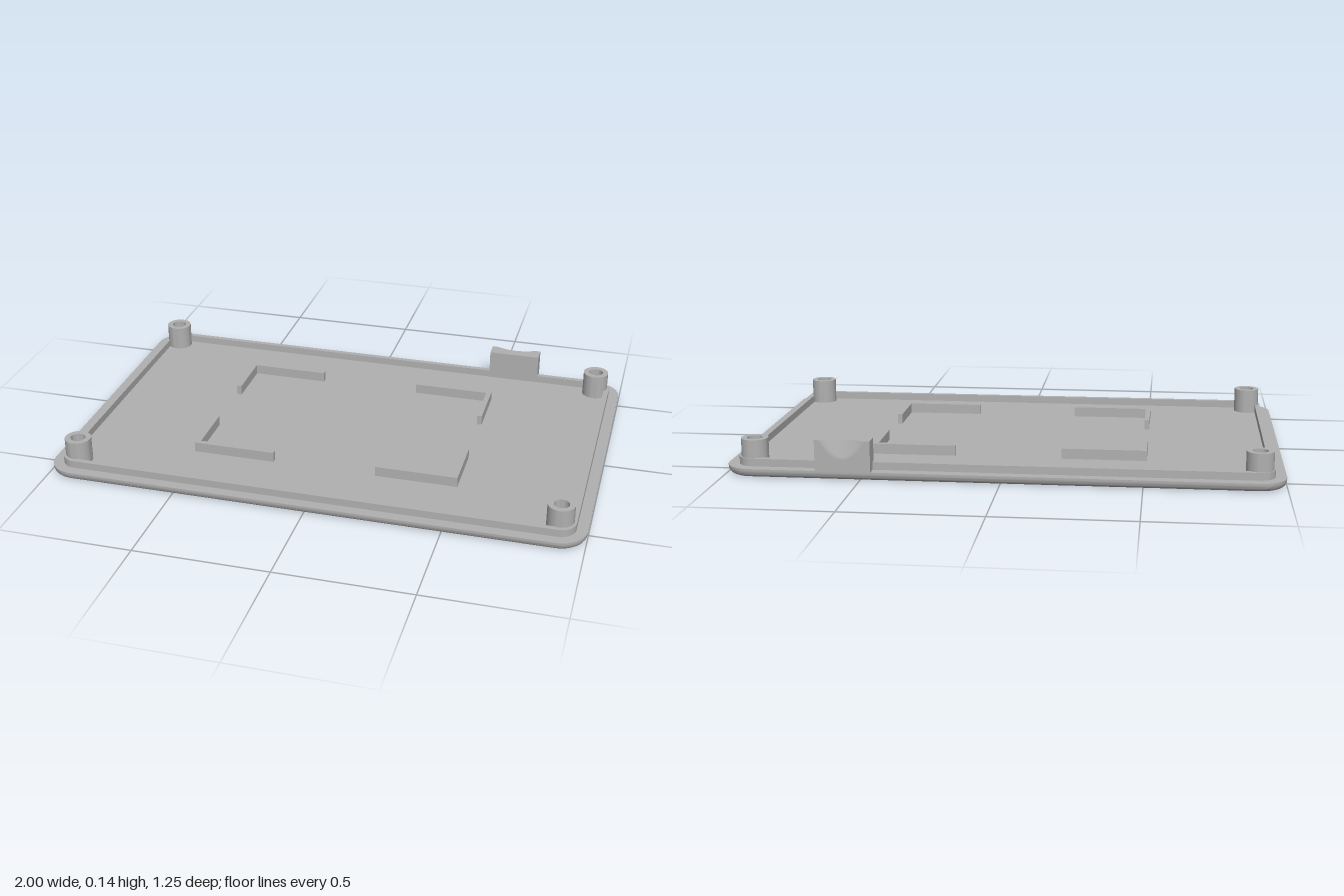
import * as THREE from 'three';
import { toCreasedNormals } from 'three/addons/utils/BufferGeometryUtils.js';

const HALF_X = 1, HALF_Z = 0.625, CORNER = 0.1;
const SLAB = 0.032, RIM = 0.06, BEVEL = 0.025;
const RIM_OUT = 0.04, RIM_IN = 0.06;
const CORNER_STEPS = 10;

// Rounded rectangle outline as [x, z] points, shrunk by an inset
function outline(inset) {
  const r = CORNER - inset, pts = [];
  [[1, 1], [-1, 1], [-1, -1], [1, -1]].forEach(([sx, sz], q) => {
    for (let i = 0; i <= CORNER_STEPS; i++) {
      const a = (q + i / CORNER_STEPS) * Math.PI / 2;
      pts.push([sx * (HALF_X - CORNER) + r * Math.cos(a), sz * (HALF_Z - CORNER) + r * Math.sin(a)]);
    }
  });
  return pts;
}

// Skin through a list of [inset, y] steps around the outline
function loft(steps) {
  const pos = [], idx = [], n = outline(0).length;
  for (const [inset, y] of steps) outline(inset).forEach(([x, z]) => pos.push(x, y, z));
  for (let s = 0; s < steps.length - 1; s++) {
    for (let i = 0; i < n; i++) {
      const a = s * n + i, b = s * n + (i + 1) % n;
      idx.push(a, a + n, b, b, a + n, b + n);
    }
  }
  const g = new THREE.BufferGeometry();
  g.setAttribute('position', new THREE.Float32BufferAttribute(pos, 3));
  g.setIndex(idx);
  g.computeVertexNormals();
  return toCreasedNormals(g, Math.PI / 6);
}

// Screw posts at the four corners
const POSTS = [[-0.905, -0.53], [0.902, -0.53], [-0.905, 0.52], [0.902, 0.52]];

// Flat sheet with a round hole at each post, facing up (1) or down (-1)
function sheet(inset, y, holeRadius, facing) {
  const shape = new THREE.Shape(outline(inset).map(([x, z]) => new THREE.Vector2(x, -facing * z)));
  for (const [x, z] of POSTS) {
    shape.holes.push(new THREE.Path().absarc(x, -facing * z, holeRadius, 0, Math.PI * 2, true));
  }
  return new THREE.ShapeGeometry(shape, 20).rotateX(-facing * Math.PI / 2).translate(0, y, 0);
}

export function createModel() {
  const model = new THREE.Group();
  model.name = 'enclosureLid';
  const grey = new THREE.MeshStandardMaterial({ color: 0xb0b0b0 });
  grey.name = 'grey plastic';

  const add = (name, geometry, parent = model) => {
    const mesh = new THREE.Mesh(geometry, grey);
    mesh.name = name;
    parent.add(mesh);
    return mesh;
  };

  // Rounded lower edge, ledge and raised rim
  const steps = [];
  for (let i = 0; i <= 6; i++) {
    const a = i / 6 * Math.PI / 2;
    steps.push([BEVEL * (1 - Math.sin(a)), BEVEL * (1 - Math.cos(a))]);
  }
  steps.push([0, SLAB], [RIM_OUT, SLAB], [RIM_OUT, RIM], [RIM_IN, RIM], [RIM_IN, SLAB]);
  add('edgeAndRim', loft(steps));
  add('floor', sheet(RIM_IN, SLAB, 0.03, 1));
  add('underside', sheet(BEVEL, 0, 0.042, -1));

  // Hollow posts, counterbored from below
  const profile = [[0.049, SLAB], [0.049, 0.126], [0.028, 0.126], [0.028, 0.03], [0.042, 0.03], [0.042, 0]]
    .map(([r, y]) => new THREE.Vector2(r, y));
  const post = toCreasedNormals(new THREE.LatheGeometry(profile, 40), Math.PI / 6);
  for (const [x, z] of POSTS) add('screwPost', post).position.set(x, 0, z);

  // L-shaped locating brackets
  const T = 0.019, H = 0.07;
  for (const sx of [-1, 1]) {
    for (const sz of [-1, 1]) {
      const x0 = sx < 0 ? -0.508 : 0.505, x1 = sx * 0.196;
      const z0 = sz < 0 ? -0.36 : 0.35, z1 = sz < 0 ? -0.14 : 0.128;
      const xi = x0 - sx * T, zi = z0 - sz * T;
      const shape = new THREE.Shape([[x0, z0], [x1, z0], [x1, zi], [xi, zi], [xi, z1], [x0, z1]]
        .map(([x, z]) => new THREE.Vector2(x, -z)));
      const g = new THREE.ExtrudeGeometry(shape, { depth: H - SLAB, bevelEnabled: false });
      add('locatingBracket', g.rotateX(-Math.PI / 2).translate(0, SLAB, 0));
    }
  }

  // Latch block with a thumb scoop in the upper back
  const top = 0.145, back = -HALF_Z, front = -0.564, midX = 0.56;
  const block = new THREE.BoxGeometry(0.2, top - SLAB, front - back, 32, 24, 1);
  block.translate(midX, (top + SLAB) / 2, (front + back) / 2);
  const p = block.attributes.position;
  for (let i = 0; i < p.count; i++) {
    if (p.getZ(i) > back + 0.001) continue;
    const u = (p.getX(i) - midX) / 0.078, v = (top - p.getY(i)) / 0.065;
    p.setZ(i, back + 0.019 * Math.max(0, 1 - u * u - v));
  }
  block.computeVertexNormals();
  add('latchBlock', block);

  return model;
}
